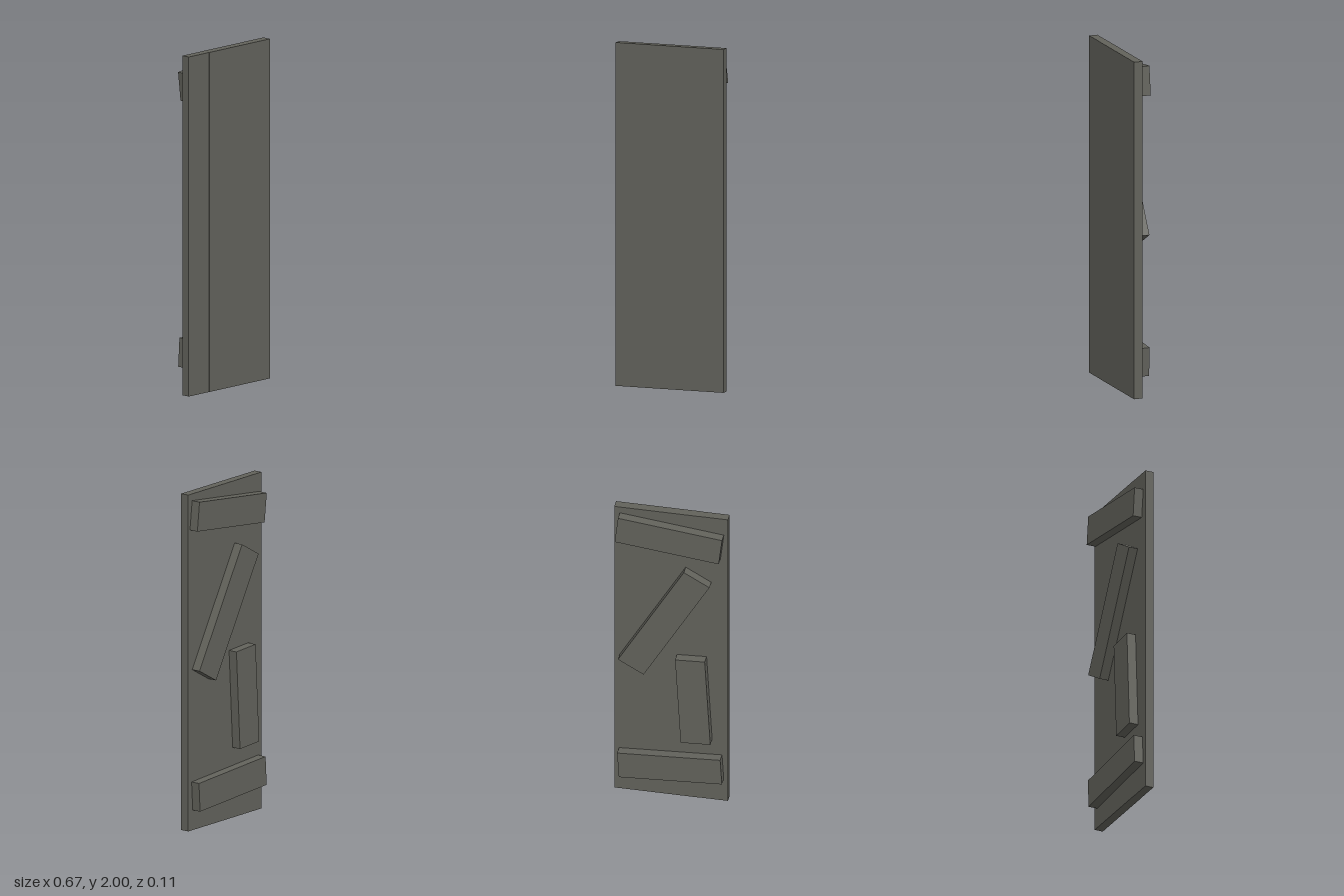
import * as THREE from 'three';

export function createModel() {
  const group = new THREE.Group();
  group.name = 'plankDoor';
  const wood = new THREE.MeshStandardMaterial({ color: 0x62625b });
  wood.name = 'grey weathered wood';

  // A board given by its size, centre and tilt in degrees
  function board(name, [w, h, d], [x, y, z], tilt = 0) {
    const mesh = new THREE.Mesh(new THREE.BoxGeometry(w, h, d), wood);
    mesh.name = name;
    mesh.position.set(x, y, z);
    mesh.rotation.z = THREE.MathUtils.degToRad(tilt);
    group.add(mesh);
  }

  // Door panel: a wide plank and a slightly thinner narrow one
  board('widePlank', [0.498, 2, 0.052], [0.084, 1, 0.028]);
  board('narrowPlank', [0.168, 2, 0.05], [-0.249, 1, 0.028]);

  // Crooked boards nailed across the back
  const depth = 0.055, z = -0.0275;
  board('topBatten', [0.614, 0.172, depth], [0.005, 1.84, z], 6.6);
  board('diagonalBatten', [0.173, 0.777, depth], [0.032, 1.25, z], 29.8);
  board('shortBatten', [0.174, 0.585, depth], [-0.138, 0.714, z], -3.2);
  board('bottomBatten', [0.605, 0.17, depth], [-0.002, 0.222, z], -3.4);

  return group;
}
